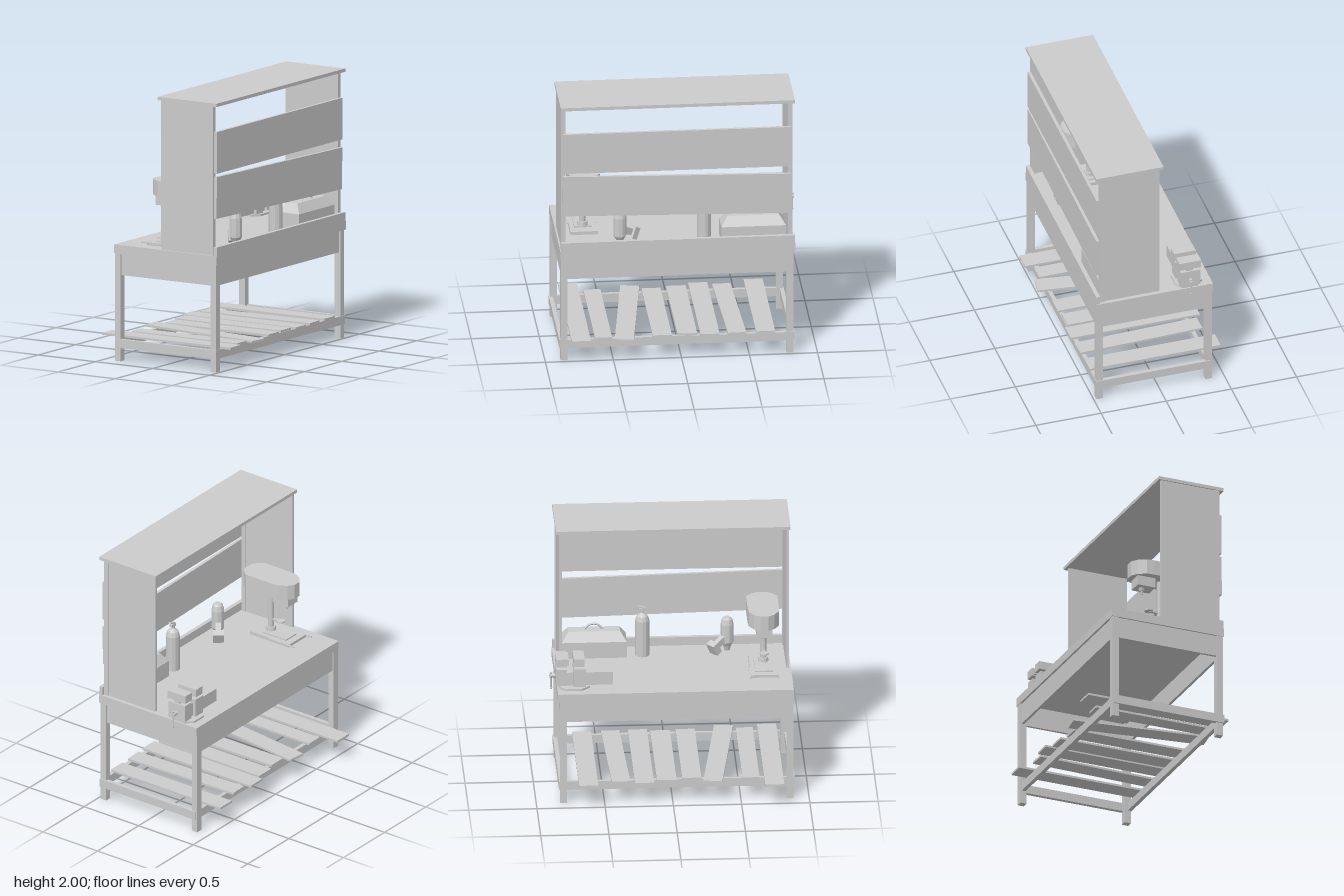
import * as THREE from 'three';

const grey = new THREE.MeshStandardMaterial({ color: 0xcccccc, flatShading: true, side: THREE.DoubleSide });

export function createModel() {
  const root = new THREE.Group();
  root.name = 'workbench';

  const group = (name) => {
    const g = new THREE.Group();
    g.name = name;
    root.add(g);
    return g;
  };
  const add = (parent, name, geo, x = 0, y = 0, z = 0) => {
    const m = new THREE.Mesh(geo, grey);
    m.name = name;
    m.position.set(x, y, z);
    parent.add(m);
    return m;
  };
  // Box given by its limits along each axis
  const box = (parent, name, x0, x1, y0, y1, z0, z1) =>
    add(parent, name, new THREE.BoxGeometry(x1 - x0, y1 - y0, z1 - z0), (x0 + x1) / 2, (y0 + y1) / 2, (z0 + z1) / 2);
  const cyl = (parent, name, rTop, rBottom, y0, y1, x, z, sides = 12) =>
    add(parent, name, new THREE.CylinderGeometry(rTop, rBottom, y1 - y0, sides), x, (y0 + y1) / 2, z);
  // Outline in x and z, raised from y0 to y1
  const slab = (parent, name, pts, y0, y1) => {
    const s = new THREE.Shape(pts.map(([x, z]) => new THREE.Vector2(x, -z)));
    const geo = new THREE.ExtrudeGeometry(s, { depth: y1 - y0, bevelEnabled: false }).rotateX(-Math.PI / 2);
    return add(parent, name, geo, 0, y0, 0);
  };

  // Table frame
  const table = group('table');
  box(table, 'tableTop', -0.41, 0.485, 0.8, 0.865, -0.84, 0.888);
  box(table, 'backCurb', 0.455, 0.485, 0.8, 0.93, -0.835, 0.882);
  for (const x of [-0.405, 0.43])
    for (const z of [-0.825, 0.835]) box(table, 'leg', x, x + 0.05, 0, 0.8, z, z + 0.05);
  for (const x of [-0.395, 0.45]) box(table, 'longApron', x, x + 0.02, 0.64, 0.8, -0.78, 0.84);
  for (const z of [-0.815, 0.855]) box(table, 'endApron', -0.36, 0.435, 0.64, 0.8, z, z + 0.02);
  for (const x of [-0.395, 0.455]) box(table, 'longRail', x, x + 0.03, 0.1, 0.165, -0.83, 0.893);
  for (const z of [-0.832, 0.865]) box(table, 'endRail', -0.395, 0.485, 0.1, 0.165, z, z + 0.03);

  // Loose shelf slats: x and z of both ends, width
  const slats = group('shelfSlats');
  for (const [x0, z0, x1, z1, w] of [
    [-0.515, -0.62, 0.488, -0.62, 0.14], [-0.45, -0.38, 0.495, -0.41, 0.135],
    [-0.485, -0.21, 0.505, -0.21, 0.14], [-0.44, -0.045, 0.48, -0.045, 0.145],
    [-0.41, 0.14, 0.495, 0.14, 0.14], [-0.475, 0.29, 0.55, 0.425, 0.14],
    [-0.425, 0.573, 0.5, 0.573, 0.125], [-0.565, 0.74, 0.557, 0.74, 0.14],
  ]) {
    const len = Math.hypot(x1 - x0, z1 - z0);
    const s = add(slats, 'slat', new THREE.BoxGeometry(len, 0.016, w), (x0 + x1) / 2, 0.173, (z0 + z1) / 2);
    s.rotation.y = -Math.atan2(z1 - z0, x1 - x0);
  }

  // Upper hutch
  const hutch = group('hutch');
  box(hutch, 'roof', -0.032, 0.485, 1.975, 2, -0.835, 0.885);
  for (const z of [-0.81, 0.855]) box(hutch, 'sidePanel', -0.01, 0.42, 0.865, 1.975, z, z + 0.02);
  for (const z of [-0.82, 0.848]) box(hutch, 'post', 0.418, 0.452, 0.865, 1.975, z, z + 0.034);
  box(hutch, 'upperPlank', 0.452, 0.476, 1.475, 1.785, -0.81, 0.868);
  const lower = add(hutch, 'lowerPlank', new THREE.BoxGeometry(0.024, 0.31, 1.675), 0.464, 1.278, 0.032);
  lower.rotation.x = -0.021;

  // Drill press
  const press = group('drillPress');
  box(press, 'base', -0.175, 0.175, 0.865, 0.89, 0.585, 0.785);
  box(press, 'basePad', -0.13, 0.09, 0.89, 0.9, 0.62, 0.75);
  for (const z of [0.575, 0.785]) box(press, 'baseArm', -0.235, 0.0, 0.88, 0.89, z, z + 0.01);
  box(press, 'baseFrontBar', -0.185, -0.175, 0.87, 0.89, 0.575, 0.795);
  cyl(press, 'columnFoot', 0.036, 0.04, 0.89, 0.93, 0.06, 0.688);
  cyl(press, 'column', 0.023, 0.023, 0.89, 1.25, 0.06, 0.688);
  cyl(press, 'workTable', 0.032, 0.032, 0.99, 1, -0.03, 0.69);
  box(press, 'workTableArm', -0.03, 0.06, 0.985, 0.995, 0.68, 0.7);
  slab(press, 'head', [
    [-0.03, 0.57], [-0.09, 0.575], [-0.15, 0.61], [-0.182, 0.655], [-0.182, 0.715], [-0.15, 0.76], [-0.09, 0.795],
    [-0.03, 0.8], [0.2, 0.8], [0.25, 0.76], [0.27, 0.72], [0.27, 0.65], [0.25, 0.61], [0.2, 0.57],
  ], 1.24, 1.355);
  box(press, 'spindleHousing', -0.14, 0.0, 1.165, 1.24, 0.63, 0.745);
  cyl(press, 'chuck', 0.024, 0.018, 1.14, 1.165, -0.085, 0.688);
  cyl(press, 'bit', 0.01, 0.008, 1.115, 1.14, -0.085, 0.688, 8);

  // Bench vise
  const vise = group('vise');
  const vx = -0.235;
  slab(vise, 'viseBase', [
    [-0.345, -0.78], [-0.29, -0.83], [-0.18, -0.83], [-0.14, -0.78],
    [-0.14, -0.66], [-0.18, -0.6], [-0.29, -0.6], [-0.345, -0.66],
  ], 0.865, 0.88);
  box(vise, 'fixedBody', -0.31, -0.16, 0.88, 1.02, -0.72, -0.63);
  box(vise, 'movingBody', -0.31, -0.16, 0.89, 1.02, -0.85, -0.77);
  box(vise, 'slide', -0.285, -0.18, 0.885, 0.985, -0.8, -0.43);
  for (const [z0, z1] of [[-0.72, -0.64], [-0.85, -0.77]]) {
    box(vise, 'jawNeck', -0.255, -0.205, 1.02, 1.042, z0 + 0.01, z1 - 0.01);
    box(vise, 'jaw', -0.315, -0.15, 1.042, 1.103, z0, z1);
  }
  box(vise, 'jawPlate', -0.305, -0.16, 1.05, 1.095, -0.77, -0.755);
  const screw = cyl(vise, 'screw', 0.014, 0.014, -0.06, 0.06, vx, -0.835, 10);
  screw.position.y = 0.945;
  screw.rotation.x = Math.PI / 2;
  cyl(vise, 'handle', 0.006, 0.006, 0.845, 0.965, -0.23, -0.882, 8);
  for (const y of [0.845, 0.965]) add(vise, 'handleKnob', new THREE.SphereGeometry(0.009, 8, 6), -0.23, y, -0.882);

  // Fire extinguisher
  const ext = group('extinguisher');
  const body = [[0, 0.865], [0.052, 0.865], [0.052, 1.14], [0.042, 1.175], [0.015, 1.2], [0.015, 1.225], [0, 1.225]];
  add(ext, 'cylinderBody', new THREE.LatheGeometry(body.map((p) => new THREE.Vector2(...p)), 12), 0.3, 0, -0.185);
  box(ext, 'valve', 0.288, 0.312, 1.215, 1.235, -0.21, -0.165);
  const lever = box(ext, 'lever', 0.29, 0.31, 1.24, 1.25, -0.225, -0.165);
  lever.rotation.x = 0.3;

  // Cordless drill resting upright
  const drill = group('cordlessDrill');
  const motor = [[0, 0.865], [0.02, 0.865], [0.03, 0.9], [0.048, 0.93], [0.048, 1.07], [0.038, 1.11], [0.025, 1.125], [0, 1.125]];
  add(drill, 'motorHousing', new THREE.LatheGeometry(motor.map((p) => new THREE.Vector2(...p)), 10), 0.36, 0, 0.44);
  const grip = new THREE.Group();
  grip.name = 'grip';
  grip.position.set(0.36, 0.98, 0.44);
  grip.lookAt(0.27, 0.91, 0.33);
  drill.add(grip);
  box(grip, 'handle', -0.02, 0.02, -0.025, 0.025, 0, 0.13);
  box(grip, 'battery', -0.04, 0.04, -0.045, 0.045, 0.12, 0.17);

  // Toolbox with hipped lid and bowed handle
  const tool = group('toolbox');
  box(tool, 'tray', 0.25, 0.43, 0.865, 0.99, -0.775, -0.3);
  const lid = new THREE.BoxGeometry(0.18, 0.07, 0.475);
  const p = lid.attributes.position;
  for (let i = 0; i < p.count; i++)
    if (p.getY(i) > 0) p.setXYZ(i, p.getX(i) * 0.5, p.getY(i), p.getZ(i) * 0.8);
  lid.computeVertexNormals();
  add(tool, 'lid', lid, 0.34, 1.025, -0.5375);
  const bow = new THREE.CatmullRomCurve3(
    [[1.055, -0.61], [1.085, -0.585], [1.1, -0.56], [1.1, -0.52], [1.085, -0.495], [1.055, -0.47]]
      .map(([y, z]) => new THREE.Vector3(0.34, y, z)));
  add(tool, 'carryHandle', new THREE.TubeGeometry(bow, 12, 0.008, 6));

  return root;
}
